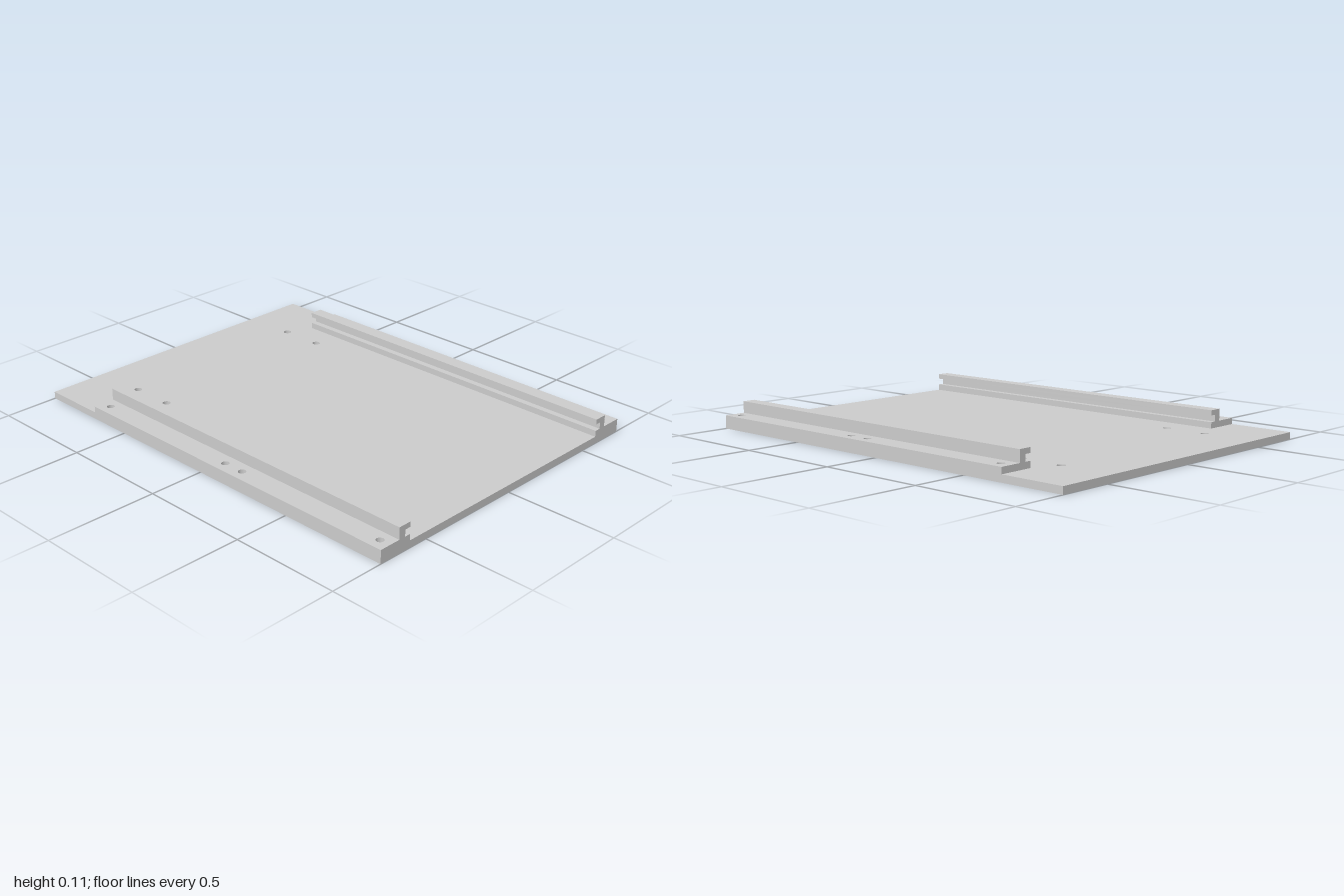
import * as THREE from 'three';

const material = new THREE.MeshStandardMaterial({ color: 0xcccccc });

// Horizontal slab with round holes, given as [x, z, radius]
function slab(name, x0, x1, z0, z1, y0, y1, holes) {
  const shape = new THREE.Shape([[x0, -z1], [x1, -z1], [x1, -z0], [x0, -z0]]
    .map(([x, y]) => new THREE.Vector2(x, y)));
  for (const [x, z, r] of holes) {
    shape.holes.push(new THREE.Path().absarc(x, -z, r, 0, Math.PI * 2, true));
  }
  const geo = new THREE.ExtrudeGeometry(shape, { depth: y1 - y0, bevelEnabled: false, curveSegments: 12 });
  geo.rotateX(-Math.PI / 2).translate(0, y0, 0);
  const mesh = new THREE.Mesh(geo, material);
  mesh.name = name;
  return mesh;
}

// Constant [z, y] cross-section running along x
function bar(name, points, x0, x1) {
  const shape = new THREE.Shape(points.map(([z, y]) => new THREE.Vector2(-z, y)));
  const geo = new THREE.ExtrudeGeometry(shape, { depth: x1 - x0, bevelEnabled: false });
  geo.rotateY(Math.PI / 2).translate(x0, 0, 0);
  const mesh = new THREE.Mesh(geo, material);
  mesh.name = name;
  return mesh;
}

export function createModel() {
  const model = new THREE.Group();
  model.name = 'slidingTray';

  const railStart = -0.7, plateTop = 0.032, flangeTop = 0.06, lipBottom = 0.09, railTop = 0.113;
  const railHoleX = [-0.65, 0.1, 0.2, 0.95];
  const plateHoles = [];

  for (const s of [1, -1]) {
    for (const x of [-0.75, -0.55]) plateHoles.push([x, s * 0.47, 0.018]);
    for (const x of railHoleX) plateHoles.push([x, s * 0.7, 0.012]);

    const rail = new THREE.Group();
    rail.name = s > 0 ? 'frontRail' : 'backRail';

    // Drilled flange on the plate
    const [z0, z1] = s > 0 ? [0.59, 0.75] : [-0.75, -0.59];
    rail.add(slab('railFlange', railStart, 1, z0, z1, plateTop, flangeTop,
      railHoleX.map((x) => [x, s * 0.7, 0.017])));

    // Upright web with a lip overhanging inwards
    rail.add(bar('railLip', [
      [0.65, flangeTop], [0.65, railTop], [0.59, railTop],
      [0.59, lipBottom], [0.618, lipBottom], [0.618, flangeTop],
    ].map(([z, y]) => [s * z, y]), railStart, 1));
    model.add(rail);
  }

  // Base plate
  model.add(slab('basePlate', -1, 1, -0.75, 0.75, 0, plateTop, plateHoles));
  return model;
}
